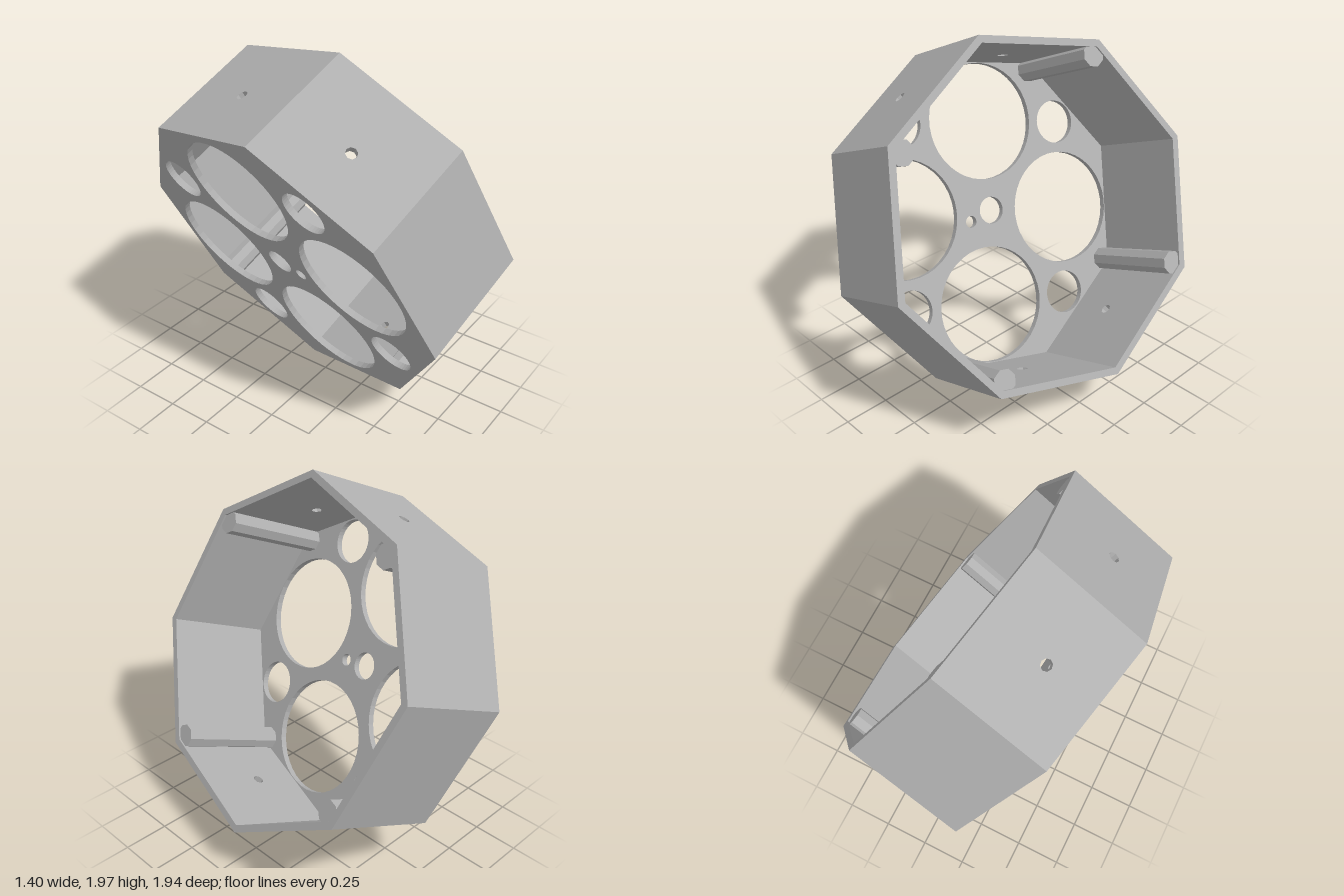
import * as THREE from 'three';

const OUTER = 0.872;          // distance from axis to outer faces
const INNER = 0.835;          // distance from axis to inner faces
const LENGTH = 0.665;         // depth of the ring along its axis
const WEB = 0.035;            // thickness of the pierced disc
const STEP = Math.PI / 4;

const material = new THREE.MeshStandardMaterial({ color: 0xb0b0b0, flatShading: true });
material.name = 'plain grey';

function addHole(shape, x, y, r) {
  const path = new THREE.Path();
  path.absarc(x, y, r, 0, Math.PI * 2, true);
  shape.holes.push(path);
}

function addPart(parent, geometry, name) {
  const mesh = new THREE.Mesh(geometry, material);
  mesh.name = name;
  parent.add(mesh);
  return mesh;
}

// One flat side of the ring, mitred at both ends
function wallPanel(withHole) {
  const w = OUTER * Math.tan(STEP / 2), h = LENGTH / 2;
  const shape = new THREE.Shape([
    new THREE.Vector2(-w, -h), new THREE.Vector2(w, -h),
    new THREE.Vector2(w, h), new THREE.Vector2(-w, h),
  ]);
  if (withHole) addHole(shape, 0, -0.03, 0.03);
  const geometry = new THREE.ExtrudeGeometry(shape, {
    depth: OUTER - INNER, bevelEnabled: false, curveSegments: 4,
  });
  const p = geometry.attributes.position;
  for (let i = 0; i < p.count; i++) p.setX(i, p.getX(i) * (INNER + p.getZ(i)) / OUTER);
  geometry.translate(0, 0, INNER);
  geometry.computeVertexNormals();
  return geometry;
}

// Octagonal disc with four large, four small and two centre holes
function webDisc() {
  const r = INNER / Math.cos(STEP / 2) + 0.005;
  const corners = [];
  for (let i = 0; i < 8; i++) {
    corners.push(new THREE.Vector2(r * Math.cos(i * STEP), r * Math.sin(i * STEP)));
  }
  const shape = new THREE.Shape(corners);
  for (let i = 0; i < 4; i++) {
    const big = -STEP / 2 + i * STEP * 2, small = STEP / 2 + i * STEP * 2;
    addHole(shape, 0.51 * Math.cos(big), 0.51 * Math.sin(big), 0.322);
    addHole(shape, 0.705 * Math.cos(small), 0.705 * Math.sin(small), 0.123);
  }
  addHole(shape, 0, -0.035, 0.075);
  addHole(shape, 0, 0.11, 0.033);
  return new THREE.ExtrudeGeometry(shape, { depth: WEB, bevelEnabled: false, curveSegments: 20 });
}

export function createModel() {
  const model = new THREE.Group();
  model.name = 'tiltedWheel';

  // The ring is built around local z, then tilted
  const wheel = new THREE.Group();
  wheel.name = 'wheel';
  const axis = new THREE.Vector3(0.905, 0.407, 0.12).normalize();
  const side = axis.clone().cross(new THREE.Vector3(-0.42, 0.9, 0.117)).normalize();
  const up = side.clone().cross(axis);
  wheel.quaternion.setFromRotationMatrix(new THREE.Matrix4().makeBasis(up, side, axis));
  wheel.position.y = 1;
  model.add(wheel);

  // Eight walls; two opposite pairs carry a screw hole
  for (let i = 0; i < 8; i++) {
    const a = (i + 0.5) * STEP;
    const panel = addPart(wheel, wallPanel(Math.abs(Math.cos(a)) > 0.7), 'wallPanel');
    panel.quaternion.setFromRotationMatrix(new THREE.Matrix4().makeBasis(
      new THREE.Vector3(-Math.sin(a), Math.cos(a), 0),
      new THREE.Vector3(0, 0, 1),
      new THREE.Vector3(Math.cos(a), Math.sin(a), 0),
    ));
  }

  // Pierced disc closing one end
  addPart(wheel, webDisc(), 'webDisc').position.z = -LENGTH / 2;

  // Ribs inside every other corner
  for (let i = 1; i < 8; i += 2) {
    const rib = new THREE.CylinderGeometry(0.065, 0.065, LENGTH - 0.02, 8);
    rib.rotateX(Math.PI / 2);
    addPart(wheel, rib, 'cornerRib').position.set(
      0.86 * Math.cos(i * STEP), 0.86 * Math.sin(i * STEP), 0);
  }
  return model;
}
